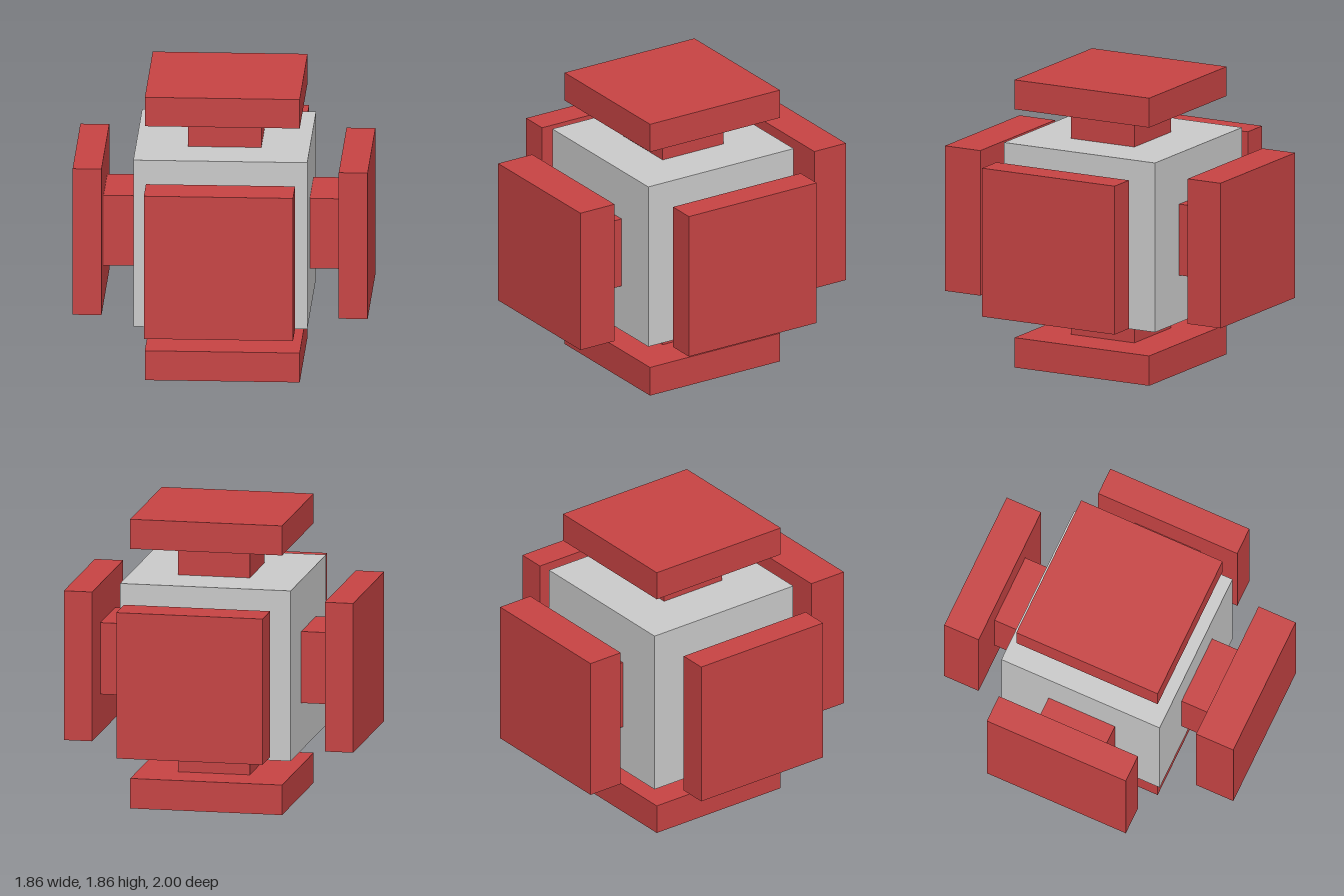
import * as THREE from 'three';

const red = new THREE.MeshStandardMaterial({ color: 0xc84444, flatShading: true });
const grey = new THREE.MeshStandardMaterial({ color: 0xcccccc, flatShading: true });

// Box given by its [min, max] range on each axis
function block(name, x, y, z, material) {
  const mesh = new THREE.Mesh(
    new THREE.BoxGeometry(x[1] - x[0], y[1] - y[0], z[1] - z[0]), material);
  mesh.position.set((x[0] + x[1]) / 2, (y[0] + y[1]) / 2, (z[0] + z[1]) / 2);
  mesh.name = name;
  return mesh;
}

export function createModel() {
  const model = new THREE.Group();
  model.name = 'cubeWithPads';

  // Central cube
  const core = { x: [-0.545, 0.55], y: [0.365, 1.46], z: [-0.563, 0.532] };
  model.add(block('core', core.x, core.y, core.z, grey));

  // Cross-section shared by the necks, by axis
  const neck = { x: [-0.215, 0.245], y: [0.67, 1.13], z: [-0.237, 0.222] };

  // Plate cross-sections: top and bottom, sides, front and back
  const cap = { x: [-0.475, 0.5], z: [-0.492, 0.486] };
  const side = { y: [0.42, 1.38], z: [-0.487, 0.475] };
  const face = { x: [-0.455, 0.484], y: [0.43, 1.368] };

  // name, axis, end of the core (0 low, 1 high), plate section, plate range
  const pads = [
    ['top', 'y', 1, cap, [1.67, 1.86]],
    ['bottom', 'y', 0, cap, [0, 0.193]],
    ['left', 'x', 1, side, [0.745, 0.927]],
    ['right', 'x', 0, side, [-0.93, -0.748]],
    ['front', 'z', 1, face, [0.743, 1]],
    ['back', 'z', 0, face, [-1, -0.762]],
  ];

  // Each pad is a square plate on a narrower neck
  for (const [name, axis, end, section, range] of pads) {
    const pad = new THREE.Group();
    pad.name = name + 'Pad';
    const plate = { ...section, [axis]: range };
    const gap = end ? [core[axis][1], range[0]] : [range[1], core[axis][0]];
    const stem = { ...neck, [axis]: gap };
    pad.add(block(name + 'Plate', plate.x, plate.y, plate.z, red));
    pad.add(block(name + 'Neck', stem.x, stem.y, stem.z, red));
    model.add(pad);
  }
  return model;
}
